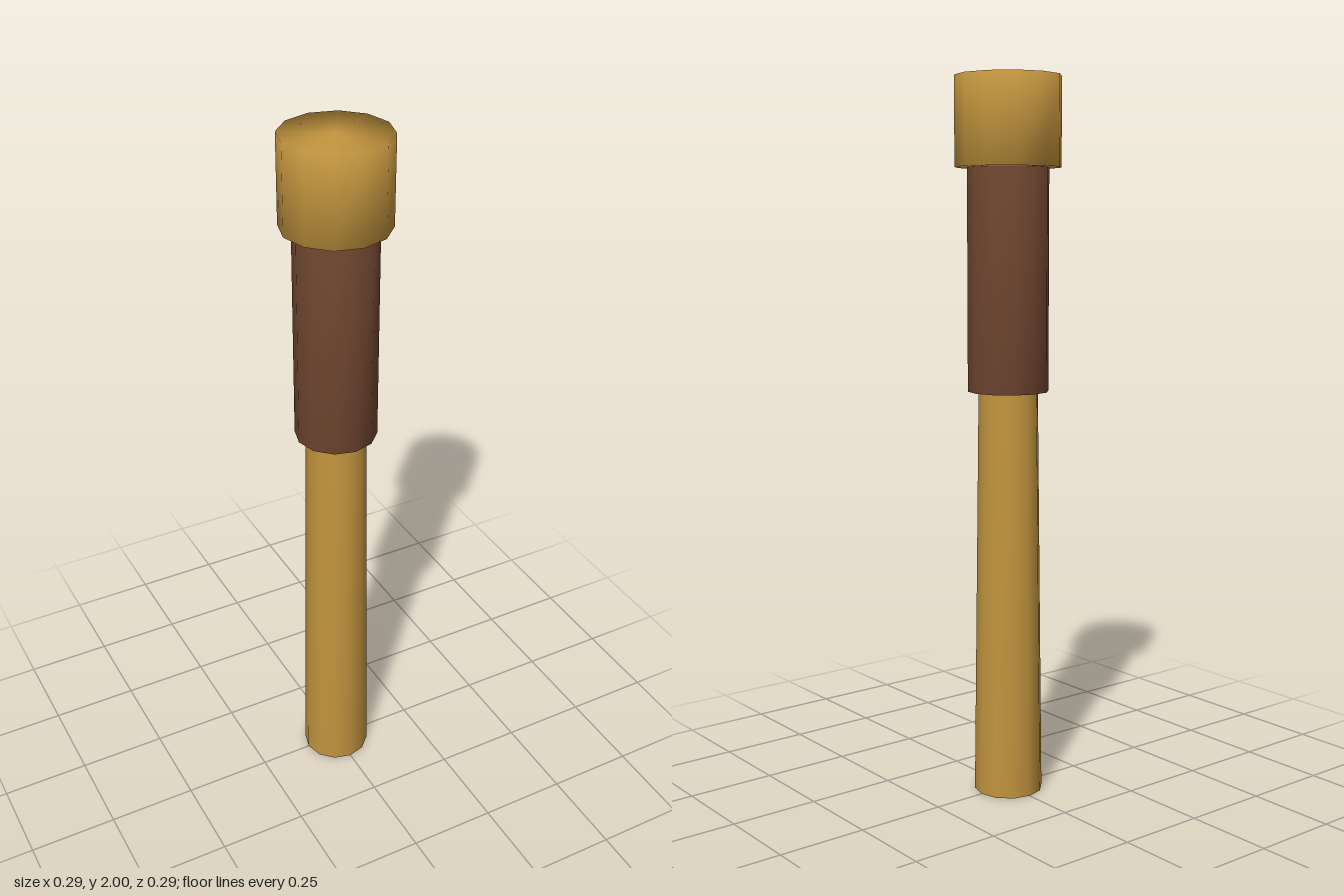
import * as THREE from 'three';
import { mergeVertices } from 'three/addons/utils/BufferGeometryUtils.js';

const SIDES = 12;

// Capped cylinder whose walls and ends share smooth normals
function smoothCylinder(name, rTop, rBottom, y0, y1, material) {
  const cylinder = new THREE.CylinderGeometry(rTop, rBottom, y1 - y0, SIDES);
  cylinder.deleteAttribute('uv');
  cylinder.deleteAttribute('normal');
  const geometry = mergeVertices(cylinder, 1e-5);
  geometry.computeVertexNormals();
  geometry.translate(0, (y0 + y1) / 2, 0);
  const mesh = new THREE.Mesh(geometry, material);
  mesh.name = name;
  return mesh;
}

export function createModel() {
  const brass = new THREE.MeshStandardMaterial({ color: 0xc4963f });
  brass.name = 'brass';
  const leather = new THREE.MeshStandardMaterial({ color: 0x704630 });
  leather.name = 'brown leather';

  const model = new THREE.Group();
  model.name = 'handle';
  model.add(
    // Tapered shaft, running up inside the grip
    smoothCylinder('shaft', 0.076, 0.097, 0, 1.75, brass),
    // Wrapped grip
    smoothCylinder('grip', 0.113, 0.113, 1.147, 1.757, leather),
    // Wide end cap
    smoothCylinder('endCap', 0.147, 0.147, 1.757, 2, brass)
  );
  return model;
}
